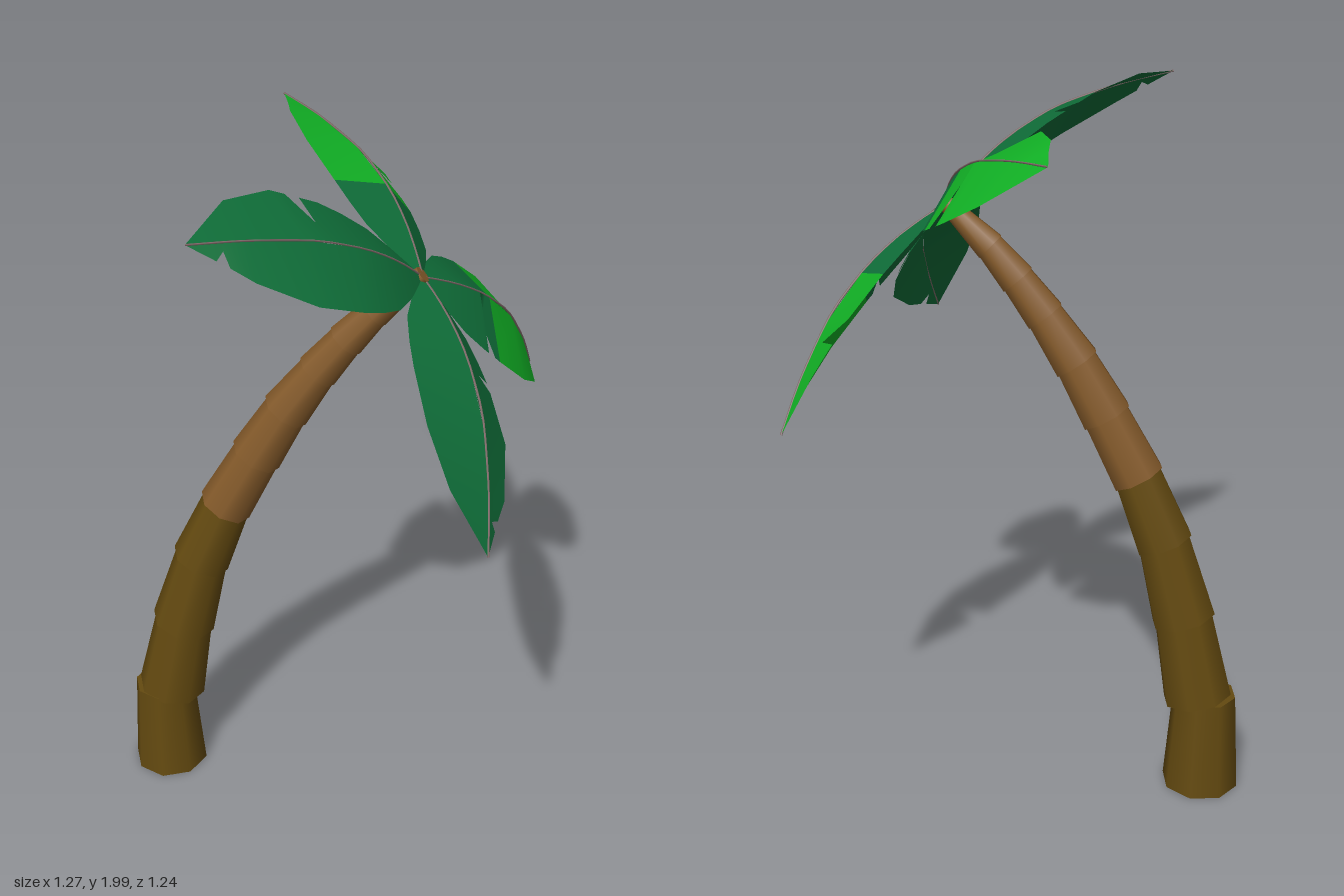
import * as THREE from 'three';

const { lerp, clamp } = THREE.MathUtils;
const mat = (name, color, side = THREE.FrontSide) => {
  const m = new THREE.MeshStandardMaterial({ color, side });
  m.name = name;
  return m;
};

// Linear lookup in a list of [position, value] pairs
function lookup(table, a) {
  let i = 1;
  while (i < table.length - 1 && table[i][0] < a) i++;
  const [a0, v0] = table[i - 1], [a1, v1] = table[i];
  return lerp(v0, v1, clamp((a - a0) / (a1 - a0), 0, 1));
}

// Frond profile: heights of the midrib and the rim, half widths of both sides
const LENGTH = 0.744, SPLIT = 0.295;
const RIB = [[0, 0], [0.07, 0.012], [0.15, 0.02], [0.25, 0.02], [0.33, 0.01], [0.42, -0.008],
  [0.52, -0.045], [0.62, -0.088], [LENGTH, -0.153]];
const RIM = [[0, 0], [0.07, -0.012], [0.15, -0.022], [0.28, -0.035], [0.445, -0.062], [0.6, -0.103], [LENGTH, -0.153]];
const WIDTH = {
  1: [[0, 0], [0.07, 0.075], [0.14, 0.13], [0.22, 0.16], [SPLIT, 0.178], [0.45, 0.187], [0.6, 0.137], [LENGTH, 0]],
  [-1]: [[0, 0], [0.07, 0.073], [0.15, 0.127], [0.22, 0.148], [SPLIT, 0.16], [0.445, 0.164], [0.6, 0.106],
    [0.655, 0.062], [LENGTH, 0]],
};

// Rim rows [a, s] of one half, with the tears cut in; a tear is [start, end, tipA, tipS]
function rimRows(side, tears) {
  const width = WIDTH[side];
  let rows = [...width];
  for (const [a0, a1, ta, ts] of tears) {
    const before = rows.filter(r => r[0] < a0 - 0.002);
    const after = rows.filter(r => r[0] > a1 + 0.002);
    rows = [...before, [a0, lookup(width, a0)], [ta, ts, clamp(ta, a0, a1)], [a1, lookup(width, a1)], ...after];
  }
  return rows;
}

// Ribbon between midrib and rim
function halfBlade(side, rows) {
  const pos = [], idx = [];
  rows.forEach(([a, s, ribA = a], i) => {
    const full = lookup(WIDTH[side], a);
    const h = lerp(lookup(RIB, a), lookup(RIM, a), full > 0 ? Math.min(s / full, 1) : 0);
    pos.push(ribA, lookup(RIB, ribA), 0, a, h, side * s);
    if (i === 0) return;
    const p = 2 * i - 2;
    if (side > 0) idx.push(p, p + 1, p + 2, p + 1, p + 3, p + 2);
    else idx.push(p, p + 2, p + 1, p + 1, p + 2, p + 3);
  });
  const g = new THREE.BufferGeometry();
  g.setAttribute('position', new THREE.Float32BufferAttribute(pos, 3));
  g.setIndex(idx);
  g.computeVertexNormals();
  return g;
}

function add(parent, name, geometry, material) {
  const mesh = new THREE.Mesh(geometry, material);
  mesh.name = name;
  parent.add(mesh);
  return mesh;
}

export function createModel() {
  const darkBark = mat('dark bark', 0x644a10);
  const lightBark = mat('light bark', 0x845a2a);
  const darkLeaf = mat('dark leaf', 0x10703a, THREE.DoubleSide);
  const lightLeaf = mat('light leaf', 0x12b526, THREE.DoubleSide);
  const ribColor = mat('leaf rib', 0x86706f);

  const palm = new THREE.Group();
  palm.name = 'palmTree';

  // Trunk: tapering rings along a leaning curve; each row is [lean, height, radius]
  const rings = [[0, 0, 0.11], [0.026, 0.28, 0.099], [0.092, 0.525, 0.092], [0.177, 0.752, 0.083],
    [0.282, 0.94, 0.076], [0.405, 1.11, 0.073], [0.518, 1.255, 0.067], [0.635, 1.38, 0.058],
    [0.735, 1.475, 0.052], [0.835, 1.56, 0.044], [1, 1.675, 0.024]];
  const trunk = new THREE.Group();
  trunk.name = 'trunk';
  palm.add(trunk);
  const centre = ([t, y]) => new THREE.Vector3(-0.408 + 0.488 * t, y, 0.5 - 0.583 * t);
  const up = new THREE.Vector3(0, 1, 0);
  for (let i = 0; i < rings.length - 1; i++) {
    const p = centre(rings[i]), q = centre(rings[i + 1]);
    const dir = q.clone().sub(p);
    const length = dir.length() + (i < 9 ? 0.01 : 0);
    dir.normalize();
    const top = rings[i + 1][2] * (i < 9 ? 0.91 : 1);
    const g = new THREE.CylinderGeometry(top, rings[i][2], length, 8);
    const seg = add(trunk, `trunkRing${i + 1}`, g, i < 4 ? darkBark : lightBark);
    if (i > 0) seg.quaternion.setFromUnitVectors(up, dir);
    seg.position.copy(p).addScaledVector(i > 0 ? dir : up, length / 2);
  }

  // Crown: four fronds a quarter turn apart, square to the trunk tip
  const crown = new THREE.Group();
  crown.name = 'crown';
  const along = new THREE.Vector3(0.85, -0.497, 0.178).normalize();
  const normal = new THREE.Vector3(0.509, 0.683, -0.523);
  normal.addScaledVector(along, -normal.dot(along)).normalize();
  const across = new THREE.Vector3().crossVectors(along, normal);
  crown.quaternion.setFromRotationMatrix(new THREE.Matrix4().makeBasis(along, normal, across));
  crown.position.set(0.08, 1.667, -0.083);
  palm.add(crown);

  const tipTear = [0.652, 0.68, 0.662, 0.022];
  const fronds = [
    { name: 'leftFrond', right: [], left: [[0.277, 0.304, 0.283, 0.078], tipTear] },
    { name: 'frontFrond', right: [[0.355, 0.4, 0.374, 0.077]], left: [tipTear] },
    { name: 'rightFrond', right: [[0.346, 0.41, 0.413, 0.061]], left: [], twoTone: true },
    { name: 'backFrond', right: [[0.241, 0.27, 0.225, 0.085]], left: [[0.444, 0.512, 0.508, 0.045]], twoTone: true },
  ];
  const ribCurve = new THREE.CatmullRomCurve3(RIB.map(([a, h]) => new THREE.Vector3(a, h, 0)));
  const ribGeometry = new THREE.TubeGeometry(ribCurve, 16, 0.0032, 4);

  fronds.forEach(({ name, right, left, twoTone }, i) => {
    const frond = new THREE.Group();
    frond.name = name;
    frond.rotation.y = -i * Math.PI / 2;
    crown.add(frond);
    for (const side of [1, -1]) {
      const rows = rimRows(side, side > 0 ? right : left);
      if (twoTone) {
        const cut = rows.findIndex(r => r[0] === SPLIT);
        add(frond, 'bladeInner', halfBlade(side, rows.slice(0, cut + 1)), darkLeaf);
        add(frond, 'bladeOuter', halfBlade(side, rows.slice(cut)), lightLeaf);
      } else add(frond, 'blade', halfBlade(side, rows), darkLeaf);
    }
    add(frond, 'midrib', ribGeometry, ribColor);
  });
  return palm;
}
